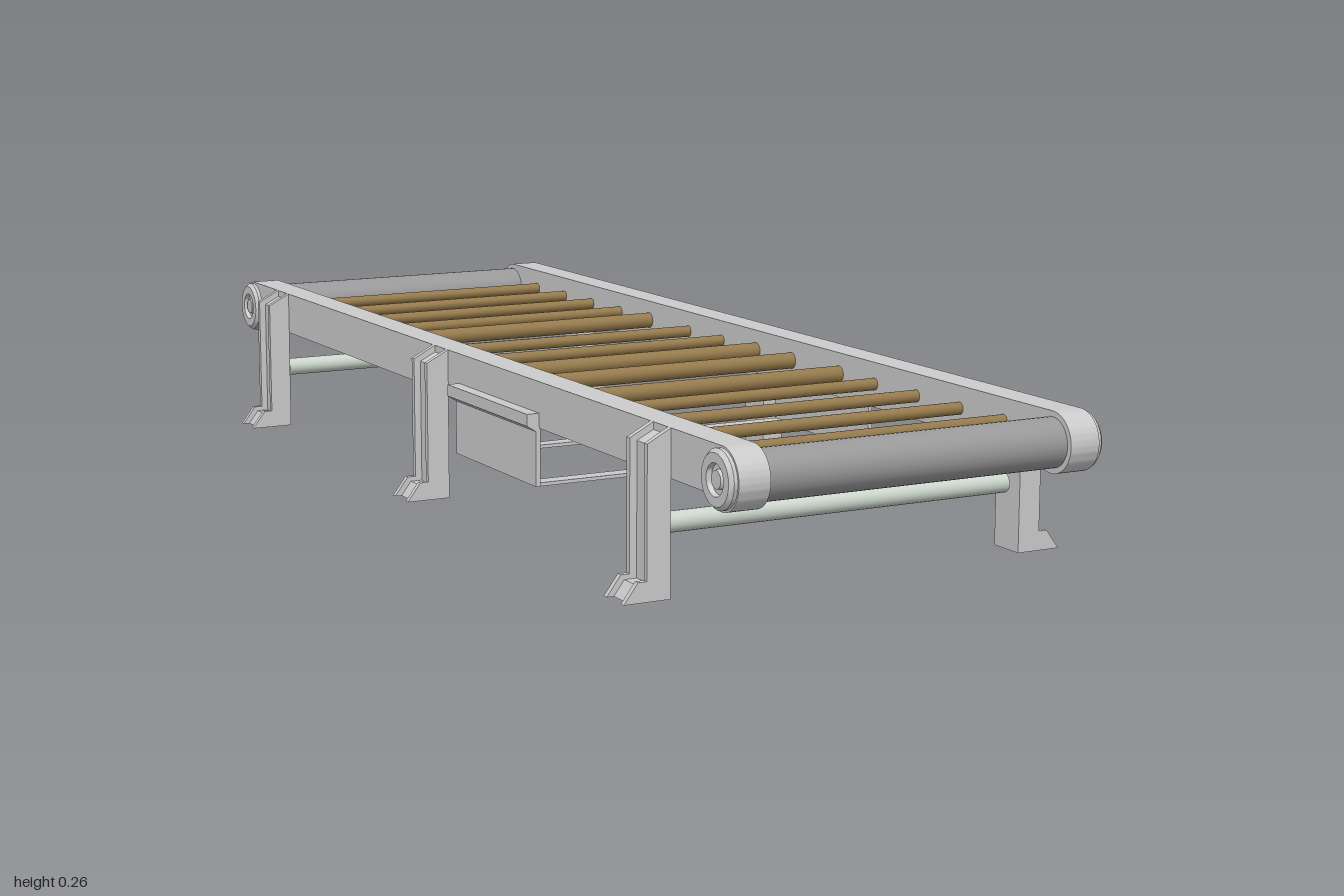
import * as THREE from 'three';
import { toCreasedNormals } from 'three/addons/utils/BufferGeometryUtils.js';

const paint = (color) => new THREE.MeshStandardMaterial({ color, side: THREE.DoubleSide });
const grey = paint(0xcccccc);
const darkGrey = paint(0x999999);
const brown = paint(0x957a4b);
const paleGrey = paint(0xccd6cc);

function add(parent, name, geometry, material, x = 0, y = 0, z = 0) {
  const mesh = new THREE.Mesh(geometry, material);
  mesh.name = name;
  mesh.position.set(x, y, z);
  parent.add(mesh);
  return mesh;
}

// Cylinder lying along x
const bar = (radius, length, sides = 20) =>
  new THREE.CylinderGeometry(radius, radius, length, sides).rotateZ(Math.PI / 2);

// Extrude an x-y outline along z, centred
function slab(points, depth) {
  const shape = new THREE.Shape(points.map(([x, y]) => new THREE.Vector2(x, y)));
  return new THREE.ExtrudeGeometry(shape, { depth, bevelEnabled: false }).translate(0, 0, -depth / 2);
}

// Side rail outline with round bearing ends, extruded across x
function railGeometry() {
  const r = 0.049, cy = 0.213, cz = 0.95, a = Math.asin(0.028 / r);
  const shape = new THREE.Shape();
  shape.absarc(cz, cy, r, Math.PI + a, Math.PI * 2.5, false);
  shape.absarc(-cz, cy, r, Math.PI / 2, Math.PI * 2 - a, false);
  shape.closePath();
  const geo = new THREE.ExtrudeGeometry(shape, { depth: 0.053, bevelEnabled: false, curveSegments: 20 });
  geo.translate(0, 0, -0.0265).rotateY(-Math.PI / 2);
  return toCreasedNormals(geo, 0.6);
}

// Stepped bearing cap, axis along +x
function capGeometry() {
  const profile = [[0.046, 0], [0.046, 0.006], [0.04, 0.012], [0.025, 0.012], [0.023, 0.004],
    [0.015, 0.004], [0.014, 0.01], [0, 0.01]].map(([r, h]) => new THREE.Vector2(r, h));
  return toCreasedNormals(new THREE.LatheGeometry(profile, 28).rotateZ(-Math.PI / 2), 0.5);
}

// Channel leg: two outer flanges around a recessed web, with a sloped foot
function makeLeg() {
  const leg = new THREE.Group();
  leg.name = 'leg';
  const flange = slab([[0.318, 0], [0.397, 0], [0.373, 0.032], [0.358, 0.032], [0.358, 0.241], [0.318, 0.262]], 0.01);
  const web = slab([[0.318, 0], [0.385, 0], [0.367, 0.024], [0.346, 0.024], [0.346, 0.236], [0.318, 0.25]], 0.046);
  for (const s of [-1, 1]) add(leg, 'legFlange', flange, grey, 0, 0, s * 0.0275);
  add(leg, 'legWeb', web, grey);
  return leg;
}

export function createModel() {
  const model = new THREE.Group();
  model.name = 'rollerConveyor';
  const rail = railGeometry();
  const cap = capGeometry();
  const panel = slab([[0.316, 0.21], [0.34, 0.21], [0.34, 0.19], [0.324, 0.18], [0.324, 0.088], [0.316, 0.088]], 0.312);

  // Each side: rail, bearing caps, legs and hanging side panel
  for (const s of [1, -1]) {
    const side = new THREE.Group();
    side.name = s > 0 ? 'leftSide' : 'rightSide';
    side.rotation.y = s > 0 ? 0 : Math.PI;
    add(side, 'sideRail', rail, grey, 0.2915);
    for (const z of [-0.95, 0.95]) add(side, 'bearingCap', cap, grey, 0.318, 0.213, z);
    for (const z of [-0.79, -0.033, 0.766]) {
      const leg = makeLeg();
      leg.position.z = s * z;
      side.add(leg);
    }
    add(side, 'sidePanel', panel, grey, 0, 0, s * 0.2);
    model.add(side);
  }

  // End drums
  for (const z of [-0.95, 0.95]) add(model, 'endDrum', bar(0.04, 0.54, 32), darkGrey, 0, 0.213, z);

  // Carrying rollers, a few of them thicker
  const rollers = [-0.835, -0.71, -0.589, -0.467, -0.345, -0.19, -0.065, 0.06, 0.183, 0.34, 0.452, 0.578, 0.702, 0.823];
  const thick = [-0.345, 0.06, 0.183, 0.34];
  for (const z of rollers) {
    const r = thick.includes(z) ? 0.0145 : 0.0105;
    add(model, 'carryingRoller', bar(r, 0.54, 16), brown, 0, 0.225, z);
  }

  // Cross braces between the end legs
  for (const z of [-0.793, 0.766]) add(model, 'crossBrace', bar(0.0165, 0.62), paleGrey, 0, 0.111, z);

  // Flat straps joining the side panels underneath
  for (const z of [0.06, 0.34]) add(model, 'panelStrap', new THREE.BoxGeometry(0.636, 0.006, 0.028), grey, 0, 0.091, z);

  return model;
}
